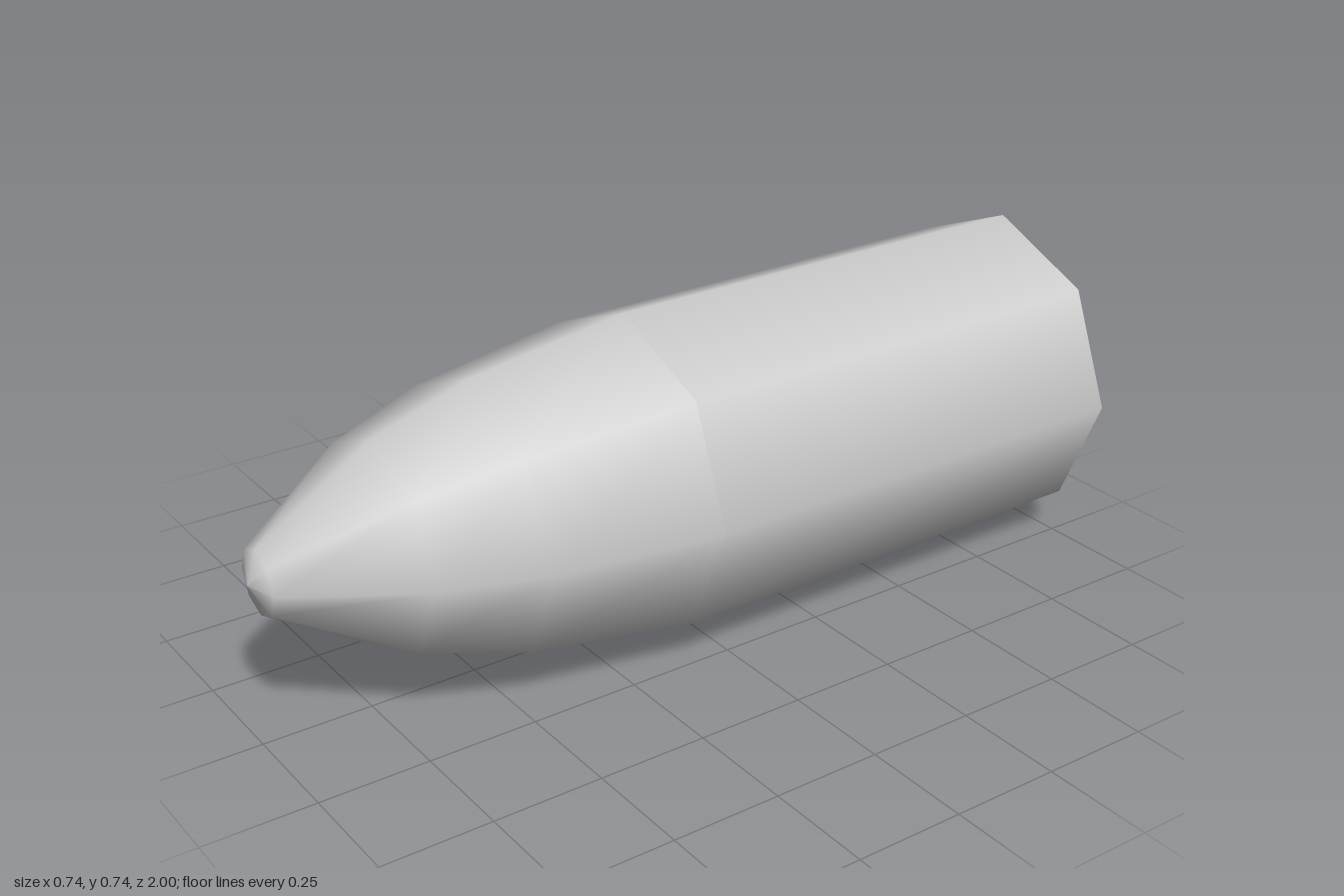
import * as THREE from 'three';

const SIDES = 8;
const RADIUS = 0.371;

export function createModel() {
  const group = new THREE.Group();
  const grey = new THREE.MeshStandardMaterial({ color: 0xcccccc });
  grey.name = 'light grey';

  const add = (name, geometry) => {
    const mesh = new THREE.Mesh(geometry, grey);
    mesh.name = name;
    mesh.position.y = RADIUS;
    group.add(mesh);
  };

  // Revolve a [radius, z] profile around the z axis, with smooth sides
  const revolve = (profile) =>
    new THREE.LatheGeometry(profile.map(([r, z]) => new THREE.Vector2(r, z)), SIDES)
      .rotateX(Math.PI / 2);

  // Straight octagonal body
  add('body', revolve([[RADIUS, -1], [RADIUS, 0.1]]));

  // Tapered nose, shaded separately so the seam with the body stays visible
  add('nose', revolve([[RADIUS, 0.1], [0.314, 0.485], [0.239, 0.715], [0.074, 0.977], [0, 1]]));

  // Flat closed back
  add('backCap', new THREE.CircleGeometry(RADIUS, SIDES).rotateY(Math.PI).translate(0, 0, -1));

  return group;
}
